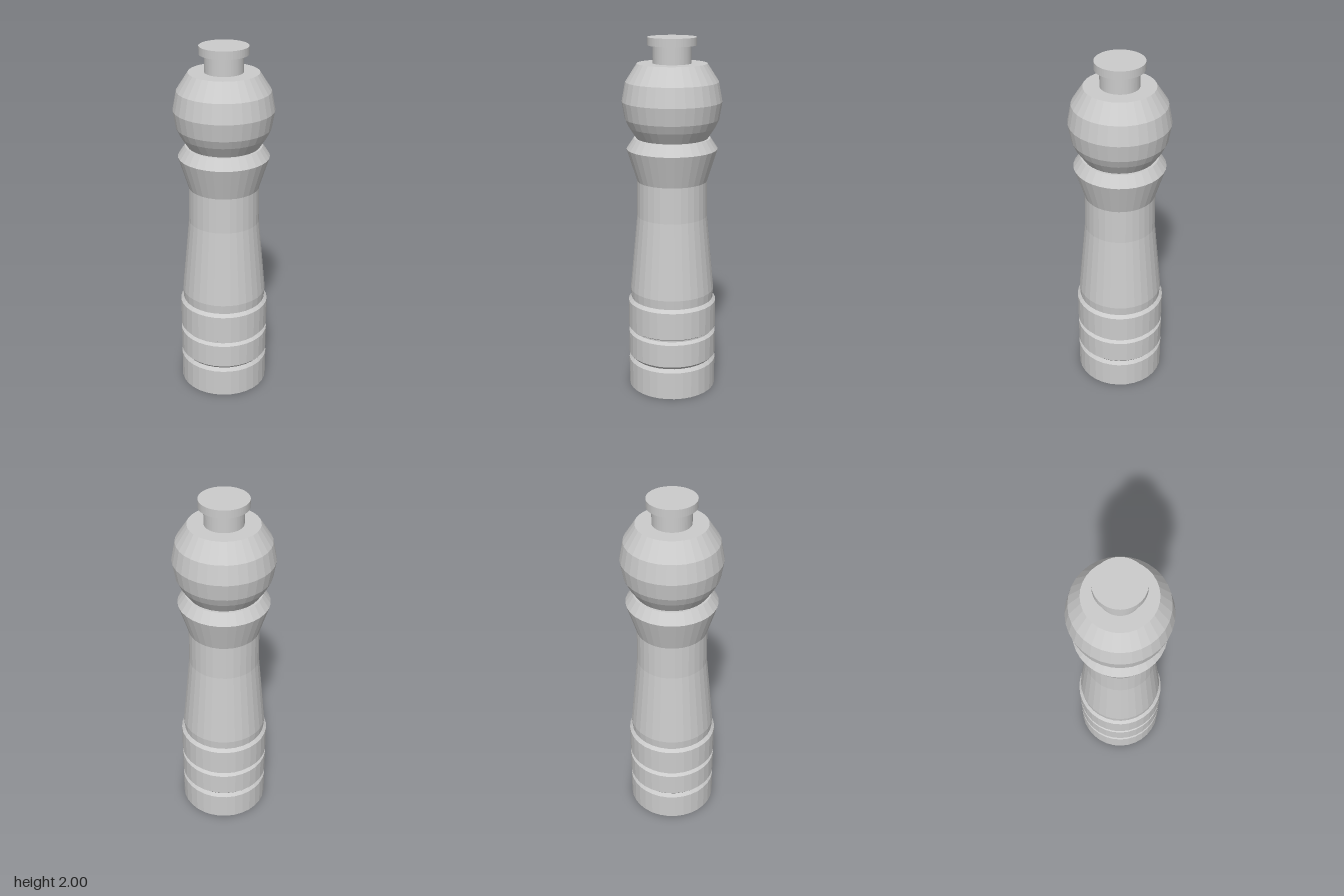
import * as THREE from 'three';

const material = new THREE.MeshStandardMaterial({ color: 0xcccccc, flatShading: true });

// Turned part from [radius, height] points, listed bottom to top along the outside
function turned(name, points, sides = 32) {
  const profile = points.map(([r, y]) => new THREE.Vector2(r, y));
  const mesh = new THREE.Mesh(new THREE.LatheGeometry(profile, sides), material);
  mesh.name = name;
  return mesh;
}

export function createModel() {
  const group = new THREE.Group();
  group.name = 'pepperMill';

  group.add(
    // Ringed base with a recessed underside and two V grooves
    turned('base', [
      [0, 0.057], [0.225, 0.057], [0.225, 0], [0.25, 0],
      [0.25, 0.16], [0.235, 0.18], [0.25, 0.197],
      [0.25, 0.33], [0.235, 0.345], [0.235, 0.353], [0.25, 0.363],
      [0.25, 0.52], [0.233, 0.538],
    ]),
    // Tapering shaft that flares into the collar
    turned('body', [
      [0.233, 0.538], [0.237, 0.59], [0.196, 1.02], [0.194, 1.22],
      [0.25, 1.4], [0.21, 1.46], [0, 1.46],
    ]),
    // Faceted round head with a flat top
    turned('head', [
      [0, 1.458], [0.195, 1.458], [0.236, 1.52], [0.257, 1.565],
      [0.273, 1.66], [0.253, 1.765], [0.19, 1.862], [0, 1.862],
    ]),
    // Stem and cap of the top nut
    turned('knob', [
      [0, 1.85], [0.104, 1.85], [0.104, 1.957], [0.132, 1.957], [0.132, 2], [0, 2],
    ], 64),
  );
  return group;
}
